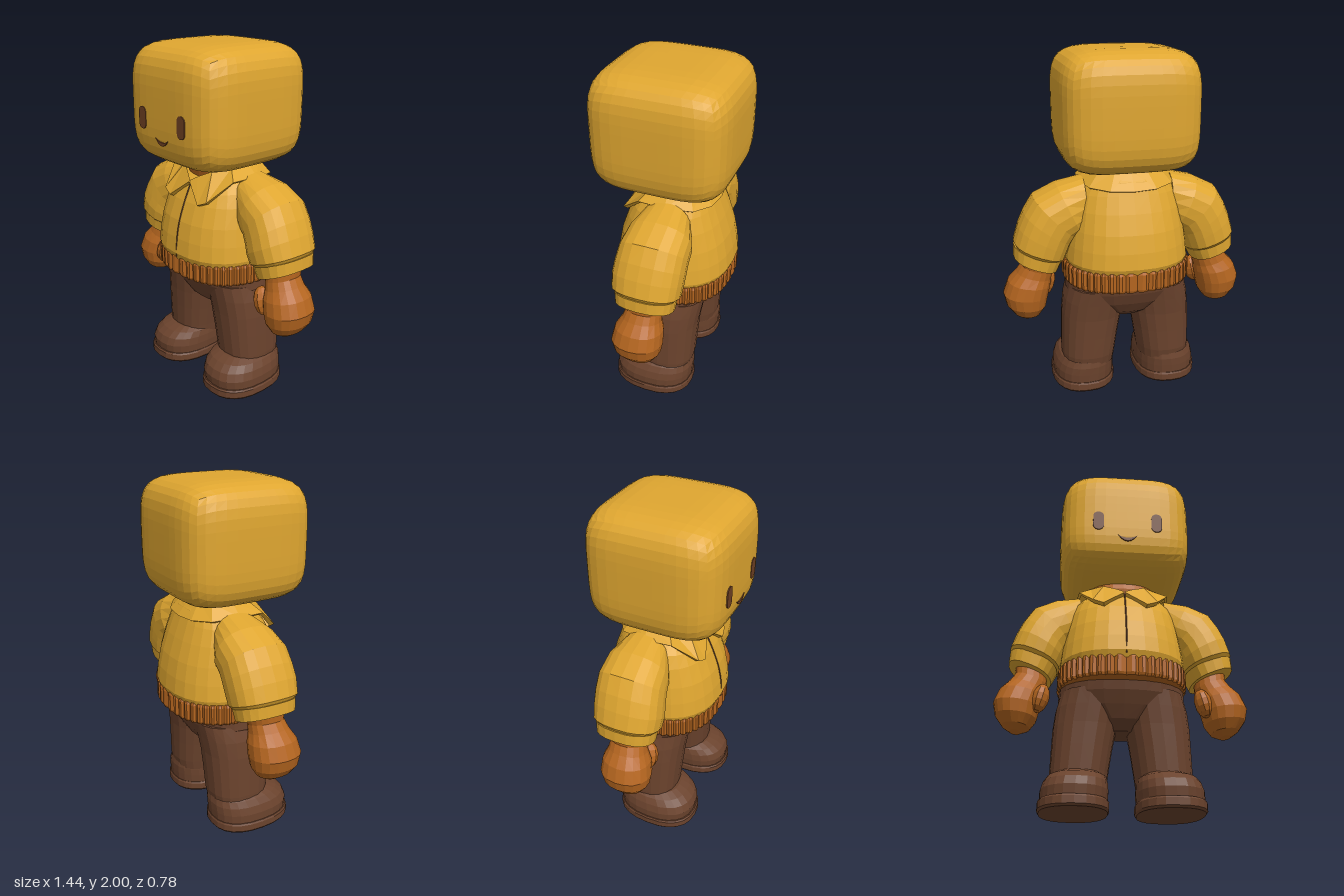
import * as THREE from 'three';

const flat = (name, color, extra = {}) =>
  new THREE.MeshStandardMaterial({ name, color, flatShading: true, ...extra });

// Closed skin through rings, listed bottom to top.
// ring = [outerX, outerY, innerX, innerY, halfDepth, centreZ, slope]
function loft(rings, { seg = 24, n = 2.4, rib = null } = {}) {
  const pos = [], idx = [];
  const pw = v => Math.sign(v) * Math.abs(v) ** (2 / n);
  for (const [ox, oy, ix, iy, rz, zc, slope = 0] of rings) {
    for (let j = 0; j < seg; j++) {
      const t = (j / seg) * Math.PI * 2, k = rib ? rib(j) : 1;
      const c = pw(Math.cos(t)) * k, s = pw(Math.sin(t)) * k * rz;
      pos.push((ox + ix) / 2 + ((ox - ix) / 2) * c,
        (oy + iy) / 2 + ((oy - iy) / 2) * c + slope * s, zc + s);
    }
  }
  for (let i = 0; i < rings.length - 1; i++) {
    for (let j = 0; j < seg; j++) {
      const a = i * seg + j, b = i * seg + ((j + 1) % seg);
      idx.push(a, a + seg, b, b, a + seg, b + seg);
    }
  }
  // End caps
  for (const i of [0, rings.length - 1]) {
    const [ox, oy, ix, iy, , zc] = rings[i], m = pos.length / 3;
    pos.push((ox + ix) / 2, (oy + iy) / 2, zc);
    for (let j = 0; j < seg; j++) {
      const a = i * seg + j, b = i * seg + ((j + 1) % seg);
      if (i === 0) idx.push(m, a, b); else idx.push(m, b, a);
    }
  }
  return build(pos, idx);
}

function build(pos, idx) {
  const g = new THREE.BufferGeometry();
  g.setAttribute('position', new THREE.Float32BufferAttribute(pos, 3));
  g.setIndex(idx);
  g.computeVertexNormals();
  return g;
}

// Upright ring given by height, half width, front z and back z
const ring = (y, rx, front, back, cx = 0, slope = 0) =>
  [cx + rx, y, cx - rx, y, (front - back) / 2, (front + back) / 2, slope];

function mirrored(geo) {
  const g = geo.clone().scale(-1, 1, 1), ix = g.index;
  for (let i = 0; i < ix.count; i += 3) {
    const b = ix.getX(i + 1);
    ix.setX(i + 1, ix.getX(i + 2));
    ix.setX(i + 2, b);
  }
  g.computeVertexNormals();
  return g;
}

export function createModel() {
  const model = new THREE.Group();
  model.name = 'figure';
  const yellow = flat('yellow', 0xdfa630);
  const yellowCloth = flat('collar yellow', 0xdfa630, { side: THREE.DoubleSide });
  const orange = flat('orange', 0xb4651f);
  const brown = flat('brown', 0x6b432d);
  const face = flat('face brown', 0x6e4023);

  const add = (name, geo, mat) => {
    const m = new THREE.Mesh(geo, mat);
    m.name = name;
    model.add(m);
    return m;
  };
  const pair = (name, geo, mat) => {
    add(name + 'Left', geo, mat);
    add(name + 'Right', mirrored(geo), mat);
  };

  // Head: a cube rounded by a power norm
  const head = new THREE.BoxGeometry(2, 2, 2, 12, 12, 12);
  const p = head.attributes.position, P = 4.6;
  for (let i = 0; i < p.count; i++) {
    const v = new THREE.Vector3().fromBufferAttribute(p, i);
    const len = (Math.abs(v.x) ** P + Math.abs(v.y) ** P + Math.abs(v.z) ** P) ** (1 / P);
    v.divideScalar(len);
    p.setXYZ(i, v.x * 0.385, 1.6675 + v.y * 0.3325, v.z * 0.387);
  }
  add('head', head, yellow);

  // Face plates
  const eye = new THREE.Shape();
  eye.absarc(0, 0.03, 0.031, 0, Math.PI);
  eye.absarc(0, -0.03, 0.031, Math.PI, Math.PI * 2);
  const plate = { depth: 0.009, bevelEnabled: false, curveSegments: 6 };
  for (const s of [1, -1]) {
    add(s > 0 ? 'eyeLeft' : 'eyeRight', new THREE.ExtrudeGeometry(eye, plate), face)
      .position.set(s * 0.168, 1.6, 0.38);
  }
  const smile = new THREE.Shape();
  smile.moveTo(-0.055, 1.508);
  smile.quadraticCurveTo(0, 1.435, 0.055, 1.508);
  smile.quadraticCurveTo(0, 1.475, -0.055, 1.508);
  add('mouth', new THREE.ExtrudeGeometry(smile, plate), face).position.z = 0.379;

  // Neck, jacket body and ribbed waistband
  add('neck', loft([ring(1.18, 0.19, 0.12, -0.19), ring(1.3, 0.2, 0.14, -0.2),
    ring(1.38, 0.19, 0.12, -0.18)]), orange);
  add('jacket', loft([
    ring(0.79, 0.35, 0.295, -0.36),
    ring(0.83, 0.36, 0.31, -0.375),
    ring(0.92, 0.35, 0.3, -0.365),
    ring(1.02, 0.335, 0.28, -0.345),
    ring(1.13, 0.315, 0.24, -0.31),
    ring(1.21, 0.29, 0.205, -0.275, 0, -0.06),
    ring(1.265, 0.25, 0.175, -0.25, 0, -0.14),
    ring(1.295, 0.2, 0.14, -0.21, 0, -0.25),
  ], { seg: 28 }), yellow);
  add('waistband', loft([ring(0.69, 0.362, 0.295, -0.365), ring(0.705, 0.37, 0.302, -0.372),
    ring(0.795, 0.37, 0.302, -0.372), ring(0.81, 0.362, 0.295, -0.365)],
  { seg: 144, n: 2.4, rib: j => (j % 3 === 0 ? 0.965 : 1) }), orange);

  // Front seam
  const seam = new THREE.CatmullRomCurve3([[0.81, 0.306], [0.92, 0.3], [1.02, 0.28],
    [1.13, 0.24], [1.235, 0.192]].map(([y, z]) => new THREE.Vector3(0, y, z)));
  add('frontSeam', new THREE.TubeGeometry(seam, 12, 0.004, 4), brown);

  // Collar: inner edge, outer edge and a short turned-under edge
  const collar = [
    [[0, 1.245, 0.2], [0.005, 1.235, 0.207]],
    [[0.04, 1.27, 0.18], [0.125, 1.14, 0.252]],
    [[0.12, 1.31, 0.14], [0.185, 1.165, 0.238]],
    [[0.19, 1.33, 0.06], [0.262, 1.275, 0.11]],
    [[0.205, 1.34, -0.05], [0.28, 1.28, -0.05]],
    [[0.17, 1.345, -0.16], [0.235, 1.265, -0.2]],
    [[0.09, 1.345, -0.2], [0.13, 1.255, -0.27]],
    [[0, 1.345, -0.21], [0, 1.25, -0.285]],
  ];
  const cp = [], ci = [];
  collar.forEach(([a, b], i) => {
    cp.push(...a, ...b, b[0] * 0.95, b[1] - 0.012, b[2] * 0.9);
    if (i) for (let k = 0; k < 2; k++) {
      const q = (i - 1) * 3 + k;
      ci.push(q, q + 1, q + 3, q + 3, q + 1, q + 4);
    }
  });
  pair('collar', build(cp, ci), yellowCloth);

  // Sleeves and cuffs
  pair('sleeve', loft([
    [0.63, 0.9, 0.39, 0.82, 0.165, -0.04],
    [0.648, 0.94, 0.36, 0.83, 0.19, -0.04],
    [0.62, 1.03, 0.34, 0.88, 0.197, -0.04],
    [0.585, 1.11, 0.325, 0.92, 0.195, -0.045],
    [0.53, 1.2, 0.3, 0.96, 0.19, -0.05],
    [0.4, 1.265, 0.27, 0.98, 0.18, -0.055],
    [0.25, 1.3, 0.24, 1.0, 0.14, -0.055],
  ], { seg: 20 }), yellow);
  pair('cuff', loft([
    [0.635, 0.84, 0.42, 0.765, 0.145, -0.04],
    [0.652, 0.85, 0.405, 0.755, 0.165, -0.04],
    [0.648, 0.92, 0.372, 0.82, 0.172, -0.04],
  ], { seg: 20 }), yellow);

  // Mitten hands with thumbs
  pair('hand', loft([
    [0.62, 0.452, 0.56, 0.448, 0.05, -0.015],
    [0.665, 0.485, 0.51, 0.47, 0.1, -0.015],
    [0.705, 0.54, 0.475, 0.52, 0.133, -0.015],
    [0.72, 0.61, 0.46, 0.585, 0.145, -0.015],
    [0.69, 0.69, 0.445, 0.65, 0.135, -0.02],
    [0.64, 0.745, 0.44, 0.69, 0.11, -0.025],
    [0.61, 0.79, 0.43, 0.73, 0.1, -0.03],
    [0.61, 0.85, 0.43, 0.79, 0.1, -0.04],
  ], { seg: 18, n: 2.2 }), orange);
  const thumb = new THREE.SphereGeometry(1, 10, 7).scale(0.05, 0.085, 0.06)
    .rotateZ(0.25).translate(0.458, 0.625, 0.055);
  pair('thumb', thumb, orange);

  // Trousers
  add('hips', loft([
    ring(0.45, 0.09, 0.06, -0.14), ring(0.5, 0.2, 0.13, -0.21),
    ring(0.57, 0.33, 0.17, -0.255), ring(0.64, 0.36, 0.205, -0.285),
    ring(0.72, 0.355, 0.225, -0.305),
  ]), brown);
  pair('leg', loft([
    ring(0.16, 0.155, 0.13, -0.21, 0.235), ring(0.22, 0.16, 0.135, -0.222, 0.232),
    ring(0.35, 0.168, 0.145, -0.228, 0.22), ring(0.47, 0.177, 0.155, -0.235, 0.207),
    ring(0.57, 0.18, 0.168, -0.25, 0.193), ring(0.66, 0.17, 0.18, -0.265, 0.18),
  ], { seg: 20 }), brown);

  // Boots and soles
  pair('boot', loft([
    ring(0.05, 0.18, 0.255, -0.215, 0.257), ring(0.11, 0.182, 0.262, -0.22, 0.255),
    ring(0.155, 0.174, 0.245, -0.222, 0.25), ring(0.19, 0.16, 0.205, -0.215, 0.243),
    ring(0.212, 0.13, 0.15, -0.19, 0.238),
  ]), brown);
  pair('sole', loft([
    ring(0, 0.182, 0.26, -0.215, 0.258), ring(0.012, 0.19, 0.27, -0.224, 0.258),
    ring(0.05, 0.19, 0.27, -0.224, 0.258), ring(0.06, 0.184, 0.263, -0.219, 0.258),
  ]), brown);

  return model;
}
